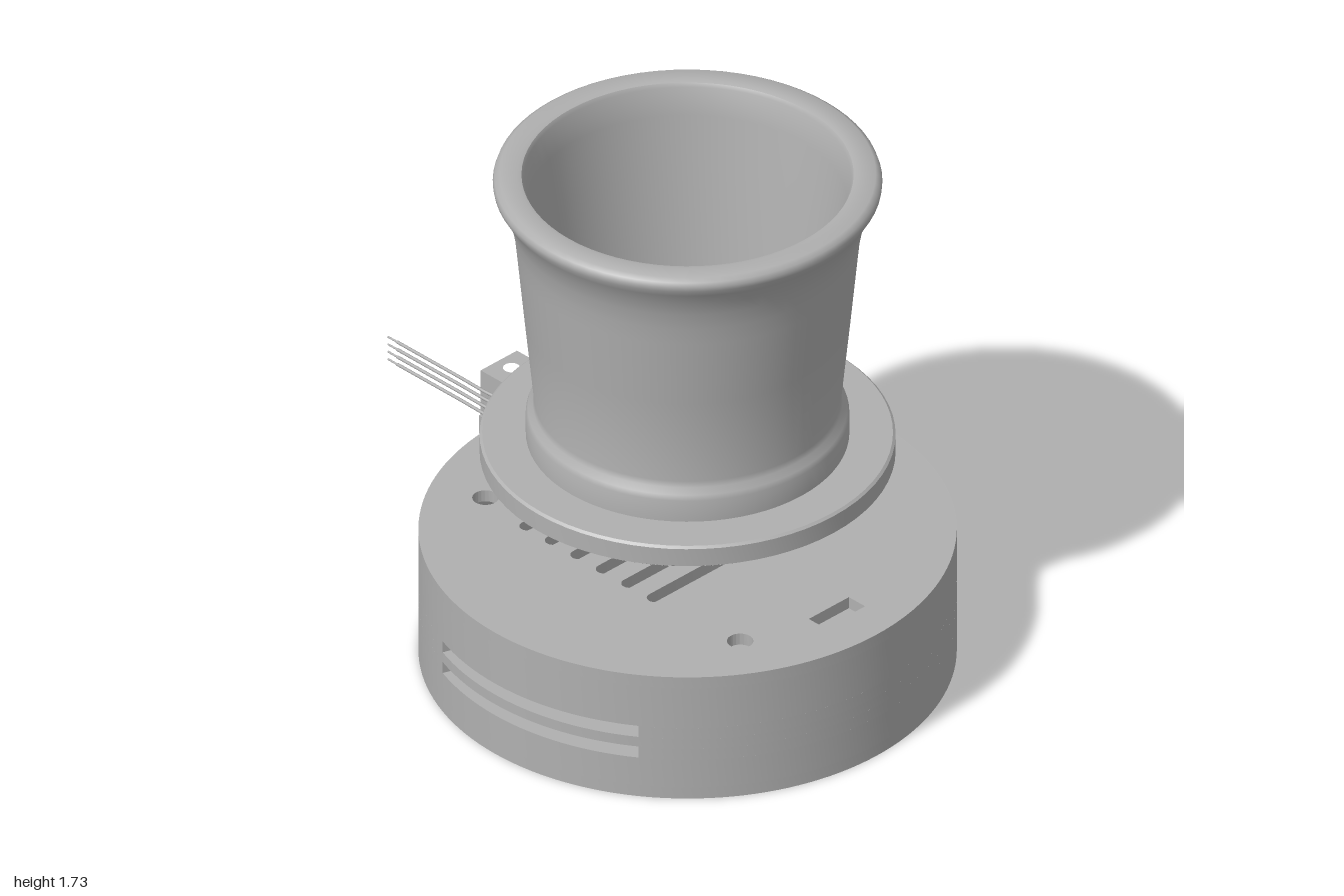
import * as THREE from 'three';
import { toCreasedNormals } from 'three/addons/utils/BufferGeometryUtils.js';
import { ConvexGeometry } from 'three/addons/geometries/ConvexGeometry.js';

const AXIS_Z = 0.185; // shared axis of cup and base
const RAD = Math.PI / 180;

export function createModel() {
  const model = new THREE.Group();
  model.name = 'cupOnWeighingBase';
  const grey = new THREE.MeshStandardMaterial({ color: 0xb0b0b0 });
  grey.name = 'plainGrey';

  const add = (parent, name, geo) => {
    const mesh = new THREE.Mesh(geo, grey);
    mesh.name = name;
    parent.add(mesh);
    return mesh;
  };

  // Plan shapes use (x, z); z is flipped so the extrusion rises along y
  const circle = (x, z, r) => new THREE.Path().absarc(x, -z, r, 0, Math.PI * 2, true);
  const disc = r => new THREE.Shape().absarc(0, 0, r, 0, Math.PI * 2, false);
  const rect = (x0, x1, z0, z1, Type = THREE.Shape) => new Type([
    [x0, -z0], [x1, -z0], [x1, -z1], [x0, -z1]].map(p => new THREE.Vector2(...p)));
  const slotX = (x0, x1, z, r) => new THREE.Path()
    .absarc(x1 - r, -z, r, -Math.PI / 2, Math.PI / 2, false)
    .absarc(x0 + r, -z, r, Math.PI / 2, Math.PI * 1.5, false).closePath();
  const slotZ = (x, z0, z1, r) => new THREE.Path()
    .absarc(x, -z0 - r, r, 0, Math.PI, false)
    .absarc(x, -z1 + r, r, Math.PI, Math.PI * 2, false).closePath();
  const slab = (shape, y0, y1, segments = 40) => {
    const g = new THREE.ExtrudeGeometry(shape, { depth: y1 - y0, bevelEnabled: false, curveSegments: segments });
    return toCreasedNormals(g.rotateX(-Math.PI / 2).translate(0, y0, 0), 0.6);
  };

  // ---- Base: hollow round case ----
  const base = new THREE.Group();
  base.name = 'base';
  base.position.z = AXIS_Z;
  model.add(base);
  const R = 0.815, RI = 0.765;
  const screws = [0, 120, 240].map(a => [0.635 * Math.cos(a * RAD), 0.635 * Math.sin(a * RAD)]);

  const floor = disc(R);
  screws.forEach(([x, z]) => floor.holes.push(circle(x, z, 0.02)));
  [0.16, 0.4].forEach(x => floor.holes.push(slotZ(x, 0.02, 0.16, 0.02)));
  add(base, 'baseFloor', slab(floor, 0, 0.04, 72));

  const lid = disc(R);
  screws.forEach(([x, z]) => lid.holes.push(circle(x, z, 0.04)));
  for (let i = 0; i < 6; i++) lid.holes.push(slotX(-0.36, 0.4, 0.2 - i * 0.11, 0.025));
  lid.holes.push(slotX(0.1, 0.4, -0.595, 0.033));
  lid.holes.push(rect(-0.085, 0.085, 0.61, 0.68, THREE.Path));
  add(base, 'baseLid', slab(lid, 0.4, 0.44, 72));
  add(base, 'portFloor', new THREE.BoxGeometry(0.2, 0.02, 0.09).translate(0, 0.375, 0.645));

  // Side wall in bands; two bands leave a curved vent open
  [[0.04, 0.14], [0.18, 0.215], [0.255, 0.4]].forEach(([y0, y1]) => {
    const ring = disc(R);
    ring.holes.push(circle(0, 0, RI));
    add(base, 'baseWall', slab(ring, y0, y1, 72));
  });
  [[0.14, 0.18], [0.215, 0.255]].forEach(([y0, y1]) => {
    const from = -(180 - 35) * RAD, to = (180 - 20) * RAD;
    const arc = new THREE.Shape()
      .absarc(0, 0, R, from, to, false)
      .absarc(0, 0, RI, to, from, true).closePath();
    add(base, 'ventedWall', slab(arc, y0, y1, 72));
  });

  // ---- Load cell: two drilled ends and a middle with a double round window ----
  const cell = new THREE.Group();
  cell.name = 'loadCell';
  model.add(cell);
  const drilled = (name, w, z0, z1, y0, y1, holes) => {
    const s = rect(-w, w, z0, z1);
    holes.forEach(z => s.holes.push(circle(0, z, 0.026)));
    add(cell, name, slab(s, y0, y1, 16));
  };
  drilled('cellBackEnd', 0.077, -0.63, -0.36, 0.505, 0.665, [-0.575, -0.43]);
  drilled('cellFrontEnd', 0.077, 0.1, 0.37, 0.505, 0.665, [0.17, 0.315]);
  drilled('cellFoot', 0.085, -0.63, -0.26, 0.44, 0.505, [-0.575, -0.43]);

  const middle = new THREE.Shape([[-0.1, 0.505], [0.36, 0.505], [0.36, 0.665], [-0.1, 0.665]]
    .map(p => new THREE.Vector2(...p)));
  const wr = 0.072, meet = Math.acos(0.05 / wr); // shape x runs towards -z
  middle.holes.push(new THREE.Path()
    .absarc(0.08, 0.585, wr, meet, Math.PI * 2 - meet, false)
    .absarc(0.18, 0.585, wr, -Math.PI + meet, Math.PI - meet, false).closePath());
  const middleGeo = new THREE.ExtrudeGeometry(middle, { depth: 0.154, bevelEnabled: false, curveSegments: 24 });
  add(cell, 'cellMiddle', toCreasedNormals(middleGeo.translate(0, 0, -0.077).rotateY(Math.PI / 2), 0.6));

  // Four wires leaving the cell's right side and running backwards
  for (let i = 0; i < 4; i++) {
    const y = 0.545 + i * 0.027;
    const path = new THREE.CatmullRomCurve3([[-0.07, -0.44], [-0.095, -0.49], [-0.107, -0.55], [-0.107, -0.7], [-0.107, -0.96]]
      .map(([x, z]) => new THREE.Vector3(x, y, z)));
    add(cell, 'wire', new THREE.TubeGeometry(path, 24, 0.005, 8));
    add(cell, 'wireTip', new THREE.CylinderGeometry(0.003, 0.003, 0.06, 8).rotateX(Math.PI / 2).translate(-0.107, y, -0.97));
  }

  // ---- Cup and its flange ----
  const cup = new THREE.Group();
  cup.name = 'cup';
  cup.position.z = AXIS_Z;
  model.add(cup);
  const lathe = pts => toCreasedNormals(
    new THREE.LatheGeometry(pts.map(p => new THREE.Vector2(...p)), 72), 0.7);

  add(cup, 'flange', lathe([[0.62, 0.715], [0.63, 0.722], [0.63, 0.783], [0.622, 0.79], [0.4, 0.79]]));

  // Underside tapers from the round flange to the cell's flat top
  const hull = [];
  for (let i = 0; i < 72; i++) {
    const a = i * 5 * RAD;
    hull.push(new THREE.Vector3(0.622 * Math.cos(a), 0.716, 0.622 * Math.sin(a)));
  }
  for (const x of [-0.08, 0.08]) for (const z of [-0.215, 0.215]) hull.push(new THREE.Vector3(x, 0.665, z));
  add(cup, 'taperedUnderside', toCreasedNormals(new ConvexGeometry(hull), 0.4));

  // Wall: foot ring, flared body, rolled lip, tapering inside and floor
  add(cup, 'cupBody', lathe([
    [0.49, 0.785], [0.49, 0.865], [0.484, 0.882], [0.469, 0.9], [0.465, 0.92],
    [0.495, 1.22], [0.517, 1.45], [0.523, 1.51], [0.534, 1.57], [0.55, 1.62], [0.573, 1.665],
    [0.588, 1.69], [0.59, 1.705], [0.585, 1.72], [0.57, 1.73], [0.515, 1.73], [0.503, 1.727], [0.496, 1.715],
    [0.485, 1.62], [0.458, 1.45], [0.39, 0.8], [0, 0.8]]));

  return model;
}
